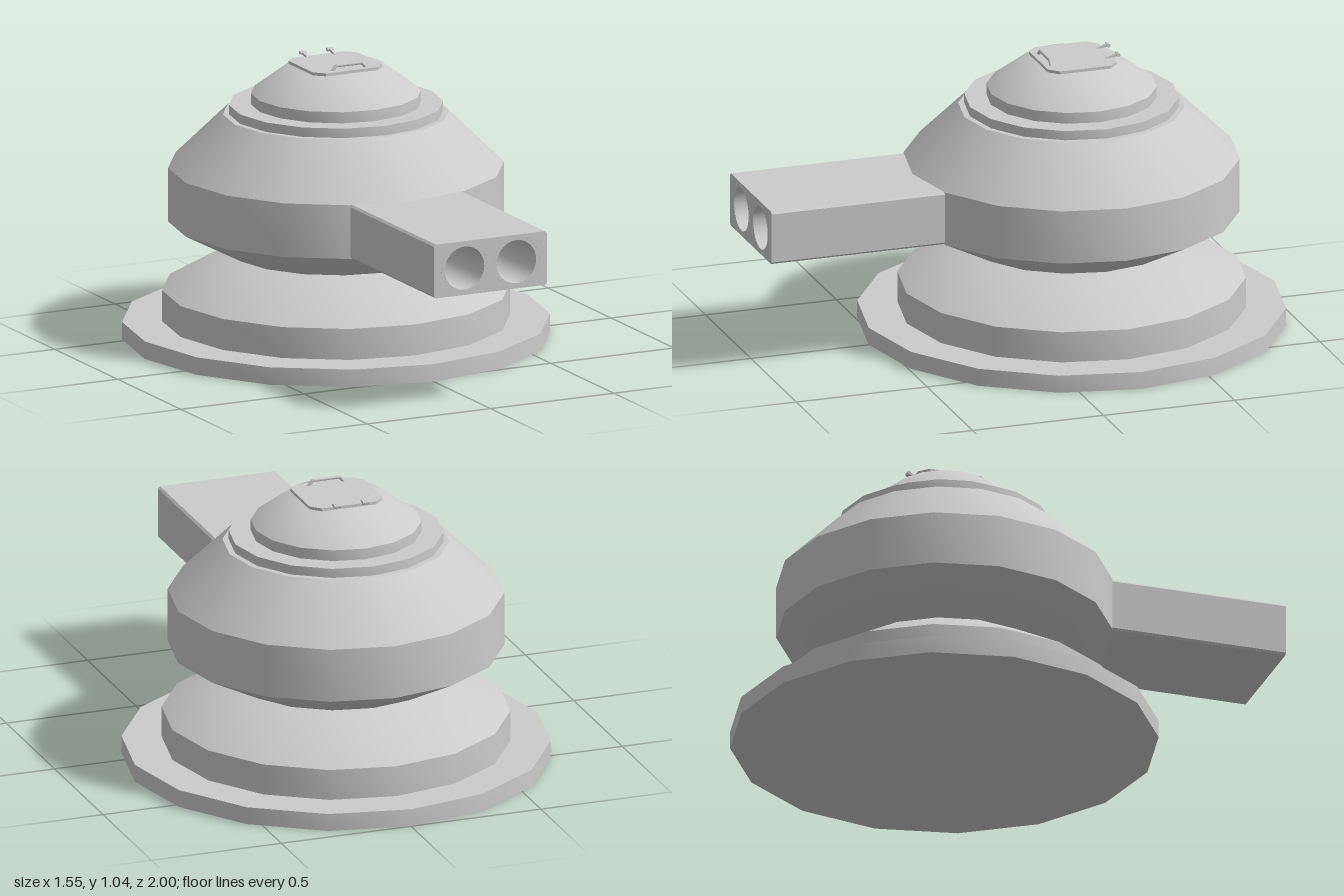
import * as THREE from 'three';
import { toCreasedNormals } from 'three/addons/utils/BufferGeometryUtils.js';

const material = new THREE.MeshStandardMaterial({ color: 0xcccccc });
const CENTRE_Z = -0.225;

function add(parent, name, geometry, x = 0, y = 0, z = 0) {
  const mesh = new THREE.Mesh(geometry, material);
  mesh.name = name;
  mesh.position.set(x, y, z);
  parent.add(mesh);
  return mesh;
}

// Sixteen-sided turned part, profile given bottom to top as [radius, height]
function turned(profile, sides = 16) {
  const points = profile.map(([r, y]) => new THREE.Vector2(r, y));
  return toCreasedNormals(new THREE.LatheGeometry(points, sides), 0.7);
}

// Rectangle with cut corners
function cutRectangle(w, h, c) {
  return new THREE.Shape([
    [-w + c, -h], [w - c, -h], [w, -h + c], [w, h - c],
    [w - c, h], [-w + c, h], [-w, h - c], [-w, -h + c],
  ].map(([x, y]) => new THREE.Vector2(x, y)));
}

export function createModel() {
  const model = new THREE.Group();
  model.name = 'turret';

  // Stacked round body
  const layers = {
    basePlate: [[0, 0], [0.775, 0], [0.775, 0.065], [0, 0.065]],
    pedestal: [[0.63, 0.065], [0.63, 0.18], [0.385, 0.32], [0, 0.32]],
    rotatingBody: [[0, 0.318], [0.385, 0.318], [0.608, 0.435], [0.608, 0.635], [0.41, 0.83], [0, 0.83]],
    collar: [[0.388, 0.83], [0.388, 0.865], [0, 0.865]],
    dome: [[0.308, 0.865], [0.308, 0.906], [0.18, 1.002], [0, 1.005]],
  };
  for (const [name, profile] of Object.entries(layers)) {
    add(model, name, turned(profile), 0, 0, CENTRE_Z);
  }

  // Gun housing with two bores
  const gun = new THREE.Group();
  gun.name = 'gunHousing';
  gun.position.set(0, 0.535, 0);
  model.add(gun);
  const face = cutRectangle(0.229, 0.1, 0.008);
  for (const x of [-0.105, 0.105]) {
    const hole = new THREE.Path();
    hole.absarc(x, 0, 0.093, 0, Math.PI * 2, true);
    face.holes.push(hole);
  }
  const housing = new THREE.ExtrudeGeometry(face, { depth: 0.79, bevelEnabled: false, curveSegments: 32 });
  add(gun, 'housing', toCreasedNormals(housing, 0.5), 0, 0, 0.21);

  // Barrel sleeves, hollow with a closed inner end
  const barrel = turned([[0.093, -0.4], [0.093, 0], [0.08, 0], [0.08, -0.35], [0, -0.35]], 32);
  barrel.rotateX(Math.PI / 2);
  for (const x of [-0.105, 0.105]) add(gun, 'barrel', barrel, x, 0, 1);

  // Roof hatch
  const hatch = new THREE.Group();
  hatch.name = 'hatch';
  hatch.position.set(0, 1.003, -0.23);
  model.add(hatch);
  const lid = new THREE.ExtrudeGeometry(cutRectangle(0.14, 0.132, 0.035), { depth: 0.011, bevelEnabled: false });
  lid.rotateX(-Math.PI / 2);
  add(hatch, 'lid', lid);

  // Grab handle
  const path = new THREE.CurvePath();
  const bar = [[-0.07, 0.008], [-0.052, 0.028], [0.052, 0.028], [0.07, 0.008]]
    .map(([x, y]) => new THREE.Vector3(x, y, 0.107));
  for (let i = 0; i < 3; i++) path.add(new THREE.LineCurve3(bar[i], bar[i + 1]));
  add(hatch, 'handle', new THREE.TubeGeometry(path, 36, 0.006, 8));

  // Hinges: a sloping arm with a cross pin
  for (const x of [-0.055, 0.055]) {
    const arm = add(hatch, 'hingeArm', new THREE.BoxGeometry(0.009, 0.01, 0.05), x, 0.015, -0.132);
    arm.rotation.x = 0.3;
    const pin = add(hatch, 'hingePin', new THREE.CylinderGeometry(0.007, 0.007, 0.024, 10), x, 0.02, -0.152);
    pin.rotation.z = Math.PI / 2;
  }
  return model;
}
